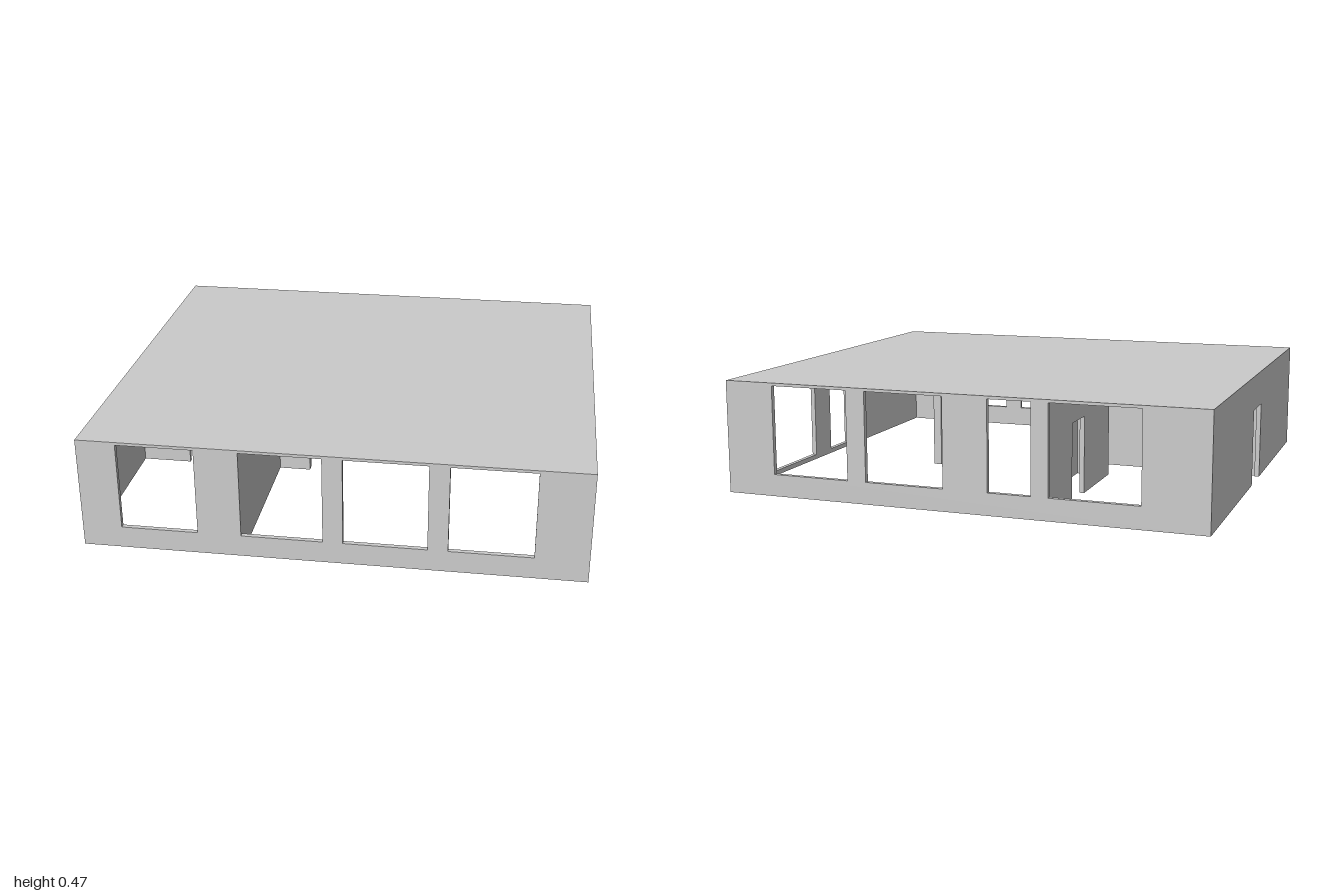
import * as THREE from 'three';

const T = 0.02;         // wall thickness
const CEILING = 0.455;  // underside of the roof
const SOFFIT = 0.37;    // underside of the dropped ceiling

const material = new THREE.MeshStandardMaterial({ color: 0xcccccc, flatShading: true });

function createMesh(name, geometry) {
  const mesh = new THREE.Mesh(geometry, material);
  mesh.name = name;
  return mesh;
}

// Wall outline from a to b; doors [from, to, top] cut the bottom edge,
// windows [from, to, bottom, top] are holes.
function wallGeometry(a, b, doors, windows) {
  const shape = new THREE.Shape();
  shape.moveTo(a, 0);
  for (const [from, to, top] of doors) {
    shape.lineTo(from, 0);
    shape.lineTo(from, top);
    shape.lineTo(to, top);
    shape.lineTo(to, 0);
  }
  shape.lineTo(b, 0);
  shape.lineTo(b, CEILING);
  shape.lineTo(a, CEILING);
  shape.closePath();
  for (const [from, to, bottom, top] of windows) {
    const hole = new THREE.Path();
    hole.moveTo(from, bottom);
    hole.lineTo(from, top);
    hole.lineTo(to, top);
    hole.lineTo(to, bottom);
    hole.closePath();
    shape.holes.push(hole);
  }
  return new THREE.ExtrudeGeometry(shape, { depth: T, bevelEnabled: false });
}

// Wall running along x, occupying z .. z + T
function wallAlongX(name, a, b, z, doors = [], windows = []) {
  return createMesh(name, wallGeometry(a, b, doors, windows).translate(0, 0, z));
}

// Wall running along z, occupying x .. x + T
function wallAlongZ(name, a, b, x, doors = [], windows = []) {
  const geometry = wallGeometry(a, b, doors, windows);
  geometry.rotateY(-Math.PI / 2).translate(x + T, 0, 0);
  return createMesh(name, geometry);
}

export function createModel() {
  const house = new THREE.Group();
  house.name = 'house';

  // Flat roof
  const roof = createMesh('roof', new THREE.BoxGeometry(2, 0.01, 1.8));
  roof.position.y = CEILING + 0.005;
  house.add(roof);

  // Outer walls with tall windows and two side doors
  const top = CEILING - 0.002;
  const spans = (list) => list.map(([from, to]) => [from, to, 0.09, top]);
  house.add(
    wallAlongX('frontWall', -1, 1, 0.9 - T, [],
      spans([[-0.84, -0.53], [-0.355, -0.03], [0.05, 0.38], [0.46, 0.79]])),
    wallAlongX('backWall', -1, 1, -0.9, [],
      spans([[-0.74, -0.38], [-0.31, -0.135], [0.05, 0.38], [0.46, 0.79]])),
    wallAlongZ('leftWall', -0.9 + T, 0.9 - T, 1 - T, [],
      [[-0.595, -0.215, 0.02, top], [-0.075, 0.1, 0.02, SOFFIT]]),
    wallAlongZ('rightWall', -0.9 + T, 0.9 - T, -1, [[-0.07, 0.105, 0.32]]),
  );

  // Inner walls: front bedroom, hall, closet and back bedroom
  house.add(
    wallAlongX('hallFrontWall', -1 + T, -0.22, 0.12, [[-0.77, -0.635, 0.32]]),
    wallAlongZ('frontRoomWall', 0.14, 0.9 - T, -0.375),
    wallAlongZ('closetWall', -0.39, 0.12, -0.24, [[-0.075, 0.1, SOFFIT]]),
    wallAlongX('hallBackWall', -0.375, -0.24, -0.095),
    wallAlongZ('backRoomWall', -0.9 + T, -0.095, -0.375, [[-0.59, -0.43, 0.32]]),
  );

  // Dropped ceiling over the hall, closet and main room
  const outline = [
    [-1 + T, 0.12], [1 - T, 0.12], [1 - T, -0.215], [-0.07, -0.215],
    [-0.07, -0.39], [-0.355, -0.39], [-0.355, -0.085], [-1 + T, -0.085],
  ].map(([x, z]) => new THREE.Vector2(x, -z));
  const soffit = new THREE.ExtrudeGeometry(new THREE.Shape(outline), {
    depth: CEILING - SOFFIT, bevelEnabled: false,
  });
  soffit.rotateX(-Math.PI / 2).translate(0, SOFFIT, 0);
  house.add(createMesh('droppedCeiling', soffit));

  // Free-standing post under the dropped ceiling
  const post = createMesh('post', new THREE.BoxGeometry(0.035, SOFFIT, 0.035));
  post.position.set(0.41, SOFFIT / 2, -0.11);
  house.add(post);

  return house;
}
